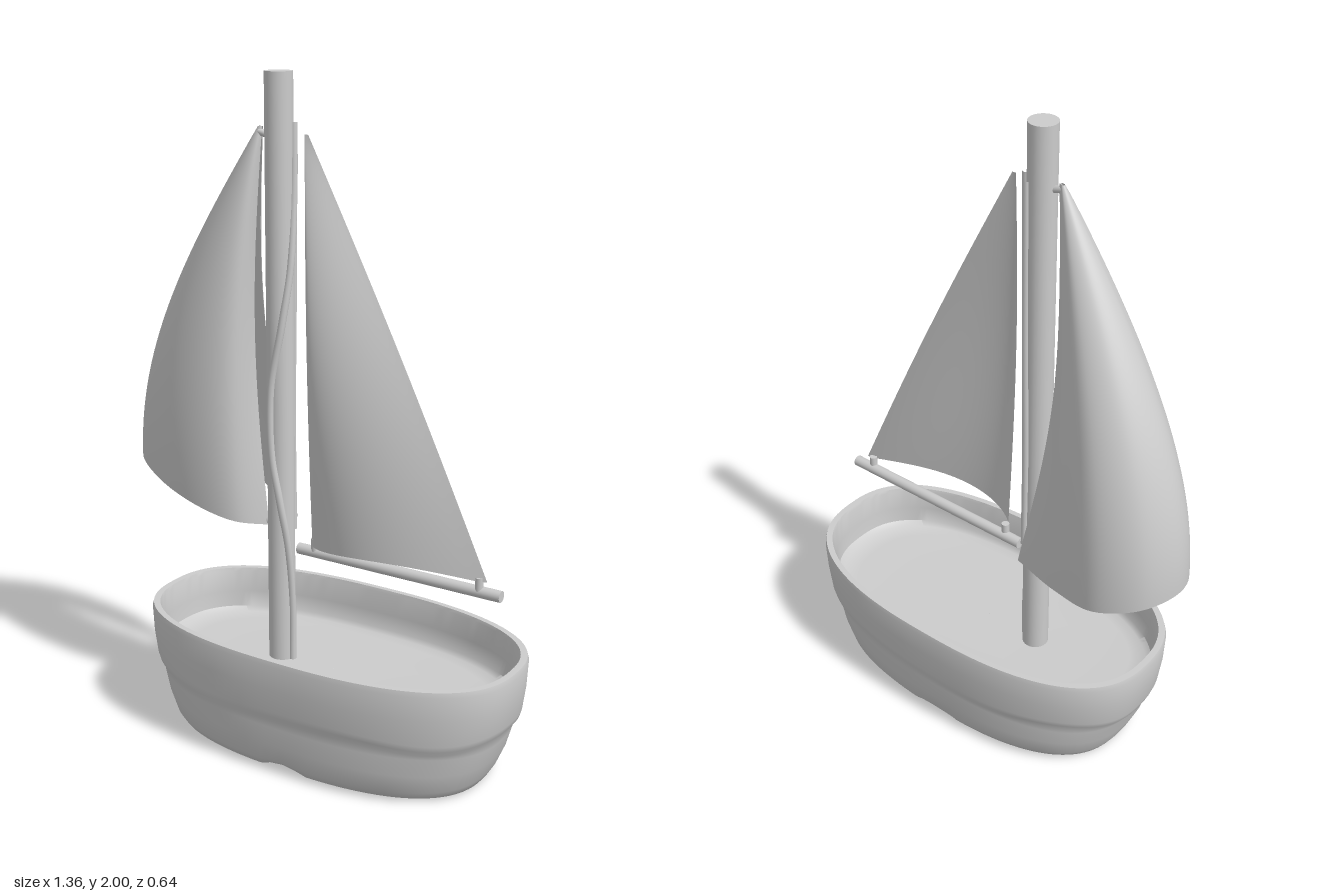
import * as THREE from 'three';
import { toCreasedNormals } from 'three/addons/utils/BufferGeometryUtils.js';

const grey = new THREE.MeshStandardMaterial({ color: 0xcccccc });
const cloth = new THREE.MeshStandardMaterial({ color: 0xcccccc, side: THREE.DoubleSide });

// Surface from a grid of points f(u, v); wrap closes it along u
function surface(nu, nv, f, wrap = false) {
  const pos = [], idx = [], row = wrap ? nu : nu + 1;
  for (let j = 0; j <= nv; j++)
    for (let i = 0; i < row; i++) pos.push(...f(i / nu, j / nv, j));
  for (let j = 0; j < nv; j++)
    for (let i = 0; i < nu; i++) {
      const a = j * row + i, b = j * row + (i + 1) % row;
      idx.push(a, a + row, b, b, a + row, b + row);
    }
  const g = new THREE.BufferGeometry();
  g.setAttribute('position', new THREE.Float32BufferAttribute(pos, 3));
  g.setIndex(idx);
  g.computeVertexNormals();
  return g;
}

function add(group, name, geometry, material = grey) {
  const m = new THREE.Mesh(geometry, material);
  m.name = name;
  group.add(m);
  return m;
}

// Round rod between two points
function rod(group, name, from, to, r) {
  const a = new THREE.Vector3(...from), b = new THREE.Vector3(...to);
  const m = add(group, name, new THREE.CylinderGeometry(r, r, a.distanceTo(b), 24));
  m.position.copy(a).lerp(b, 0.5);
  m.quaternion.setFromUnitVectors(new THREE.Vector3(0, 1, 0), b.sub(a).normalize());
}

// Hull rings from keel, up the outside, over the rim and down to the floor:
// [half length, half width, height]
const keel = Array.from({ length: 16 }, (_, i) => [0.001 + 0.031 * i, 0.0005 + 0.0163 * i, 0.005]);
const rings = [
  ...keel, [0.49, 0.258, 0.006], [0.515, 0.275, 0.015], [0.53, 0.29, 0.04], [0.555, 0.3, 0.1],
  [0.572, 0.303, 0.16], [0.578, 0.304, 0.18], [0.592, 0.311, 0.197], [0.598, 0.314, 0.215],
  [0.608, 0.319, 0.29], [0.612, 0.321, 0.365], [0.608, 0.318, 0.38], [0.588, 0.301, 0.38],
  [0.584, 0.298, 0.37], [0.58, 0.295, 0.3], [0.573, 0.29, 0.25], [0.555, 0.278, 0.236],
  [0.5, 0.25, 0.231], [0.3, 0.15, 0.229], [0.001, 0.001, 0.228],
];

function hullPoint(u, v, j) {
  const [len, wid, y] = rings[j];
  const a = u * Math.PI * 2, c = Math.cos(a), s = Math.sin(a), e = 2 / 2.5;
  const x = 0.063 + len * Math.sign(c) * Math.abs(c) ** e;
  const z = wid * Math.sign(s) * Math.abs(s) ** e;
  // shallow groove across the underside
  const groove = y < 0.05 ? 0.024 * Math.exp(-(((x - 0.06) / 0.055) ** 4)) * (1 - y / 0.05) : 0;
  // slightly uneven ledge
  const wobble = y > 0.17 && y < 0.22 ? 0.006 * Math.sin(5 * a + 1) : 0;
  return [x, y + groove + wobble, z];
}

// Mainsail: triangle whose hollow luff bows towards +z, with a belly behind it
function mainsailPoint(u, v) {
  const bow = Math.sin(Math.PI * v);
  const luff = -0.012 - 0.025 * v + 0.04 * bow;
  const leech = 0.57 - 0.595 * v + 0.012 * bow;
  const foot = 0.62 + 0.022 * Math.sin(Math.PI * Math.min(1, u * 1.05)) + 0.01 * u;
  return [
    luff + (leech - luff) * u,
    foot + (1.83 - foot) * v,
    0.072 * bow * (1 - u) + 0.078 * (1 - v) ** 1.5 * Math.sin(Math.PI * u ** 0.65),
  ];
}

// Headsail: a foot curve drawn up to the head in a swelling cone
const footCurve = new THREE.CatmullRomCurve3([
  [-0.165, 0.005], [-0.24, 0.08], [-0.36, 0.105], [-0.52, 0.08], [-0.65, 0.005], [-0.68, -0.09],
  [-0.63, -0.2], [-0.51, -0.253], [-0.35, -0.21], [-0.14, -0.115],
].map(([x, z]) => new THREE.Vector3(x, 0, z)));

function headsailPoint(u, v) {
  const p = footCurve.getPoint(u), footY = 0.65 - 0.29 * (p.x + 0.16);
  const swell = 0.03 + 0.97 * Math.sin(v * Math.PI / 2);
  const belly = 0.03 + 1.15 * Math.sin(v * 2.1) ** 0.8; // fuller on the +z side
  const edge = Math.abs(2 * u - 1) ** 6 * (u < 0.5 ? 0.04 : 0.08);
  return [
    -0.18 + (p.x + 0.18) * swell - edge * Math.sin(Math.PI * v),
    1.845 + (footY - 1.845) * v,
    p.z * (p.z > 0 ? belly : swell),
  ];
}

// Line lying on the mast, through [height, angle round the mast]
function mastLine(group, name, keys) {
  const path = new THREE.CatmullRomCurve3(keys.map(([y, a]) =>
    new THREE.Vector3(-0.123 + 0.042 * Math.cos(a), y, 0.042 * Math.sin(a))));
  add(group, name, new THREE.TubeGeometry(path, 80, 0.011, 10));
}

export function createModel() {
  const boat = new THREE.Group();
  boat.name = 'sailingBoat';

  add(boat, 'hull', toCreasedNormals(surface(128, rings.length - 1, hullPoint, true), 0.7));

  // Mast with two lines, one wound round the front and one down the back
  rod(boat, 'mast', [-0.123, 0.22, 0], [-0.123, 2, 0], 0.041);
  mastLine(boat, 'windingLine', [
    [1.86, -0.5], [1.65, -0.3], [1.45, 0.2], [1.28, 0.9], [1.1, 1.7], [0.9, 1.7],
    [0.75, 1.1], [0.6, 0.5], [0.4, 0.1], [0.22, 0.1],
  ]);
  mastLine(boat, 'backLine', [[1.84, -0.9], [1.4, -1], [1, -1.2], [0.64, -1.1]]);

  // Boom, with two pegs that hold the mainsail's lower corners
  rod(boat, 'boom', [-0.062, 0.595, -0.004], [0.613, 0.595, -0.004], 0.017);
  for (const x of [-0.002, 0.545]) rod(boat, 'boomPeg', [x, 0.595, 0], [x, 0.64, 0], 0.012);

  add(boat, 'mainsail', surface(32, 40, mainsailPoint), cloth);
  add(boat, 'headsail', surface(64, 40, headsailPoint), cloth);

  // Ties from the headsail to the mast
  rod(boat, 'headTie', [-0.19, 1.83, 0], [-0.15, 1.82, 0], 0.01);
  rod(boat, 'tackTie', [-0.17, 0.665, 0.005], [-0.145, 0.68, 0], 0.01);
  return boat;
}
